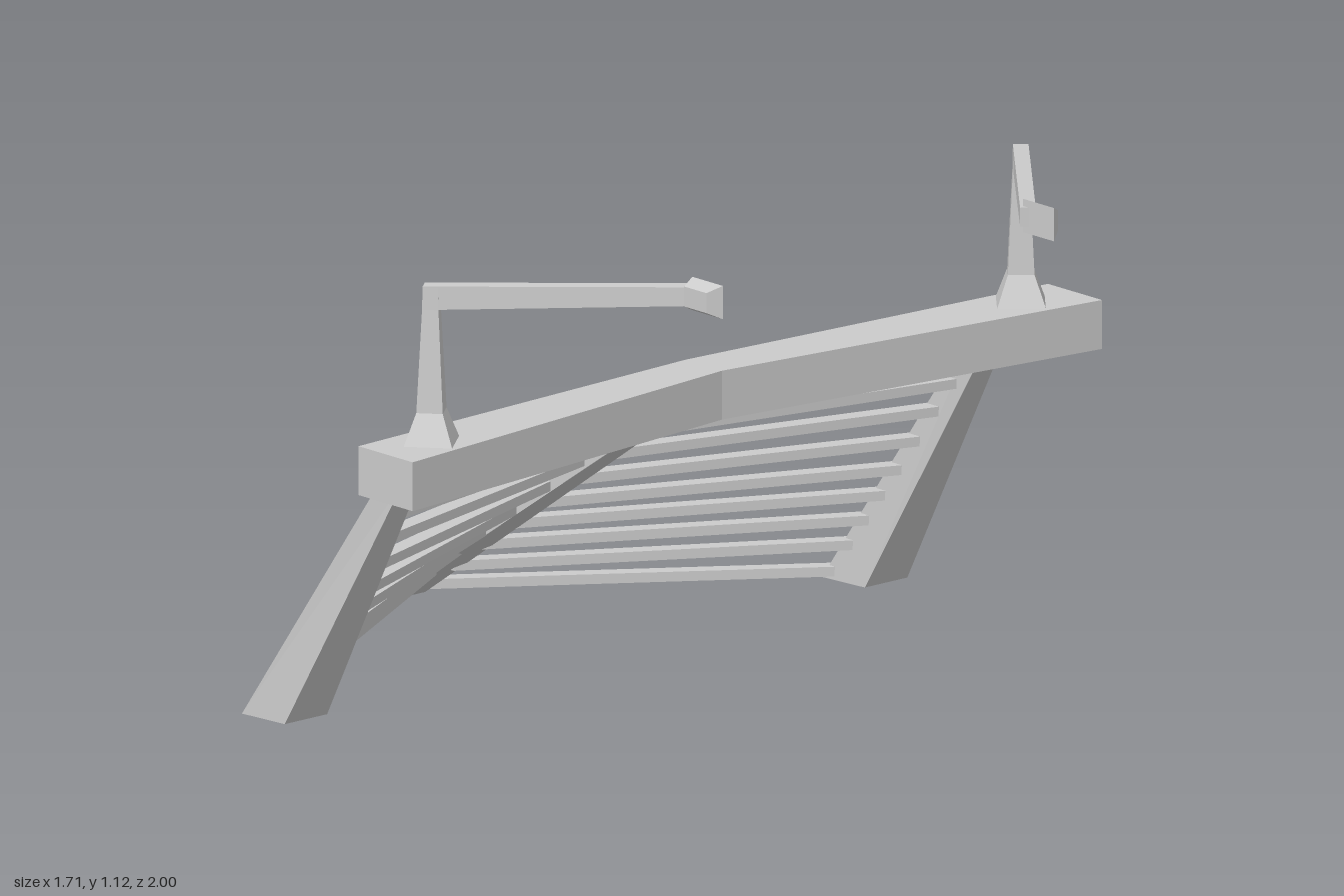
import * as THREE from 'three';

const material = new THREE.MeshStandardMaterial({ color: 0xcccccc, flatShading: true });

// Solid lofted through four-cornered sections, wound outwards whichever way it is mirrored
function loft(name, sections) {
  const tris = [];
  const quad = (a, b, c, d) => tris.push([a, b, c], [a, c, d]);
  for (let s = 0; s + 1 < sections.length; s++) {
    for (let i = 0; i < 4; i++) {
      const j = (i + 1) % 4;
      quad(sections[s][i], sections[s][j], sections[s + 1][j], sections[s + 1][i]);
    }
  }
  const first = sections[0], last = sections[sections.length - 1];
  quad(first[3], first[2], first[1], first[0]);
  quad(...last);
  const v = (p) => new THREE.Vector3(...p);
  const origin = v(first[0]);
  let volume = 0;
  for (const t of tris) {
    const [a, b, c] = t.map((p) => v(p).sub(origin));
    volume += a.dot(b.cross(c));
  }
  if (volume < 0) tris.forEach((t) => t.reverse());
  const geometry = new THREE.BufferGeometry();
  geometry.setAttribute('position', new THREE.Float32BufferAttribute(tris.flat(2), 3));
  geometry.computeVertexNormals();
  const mesh = new THREE.Mesh(geometry, material);
  mesh.name = name;
  return mesh;
}

// Section between an upper and a lower [x, y] point, spanning z0 to z1
const span = (upper, lower, z0, z1) => [
  [...upper, z0], [...upper, z1], [...lower, z1], [...lower, z0],
];

export function createModel() {
  const model = new THREE.Group();
  model.name = 'rack';

  // Bent cross beam
  const beamSection = (x0, x1, z) => [[x0, 0.62, z], [x1, 0.62, z], [x1, 0.73, z], [x0, 0.73, z]];
  model.add(loft('beam', [
    beamSection(0.25, 0.427, -1), beamSection(0.192, 0.312, 0), beamSection(0.25, 0.427, 1),
  ]));

  // Long central leg
  model.add(loft('centreLeg', [
    span([-0.857, 0.0], [-0.72, 0.01], -0.055, 0.055),
    span([0.2, 0.73], [0.22, 0.645], -0.03, 0.03),
  ]));

  // Rung heights and their starting x on the central leg
  const rungs = [
    [0.03, -0.77], [0.1, -0.635], [0.165, -0.55], [0.23, -0.46], [0.297, -0.36],
    [0.372, -0.25], [0.45, -0.14], [0.522, -0.035], [0.59, 0.065],
  ];

  for (const side of [1, -1]) {
    const half = new THREE.Group();
    half.name = side > 0 ? 'frontHalf' : 'backHalf';

    // Short outer leg
    half.add(loft('sideLeg', [
      span([-0.24, 0.01], [-0.1, 0.015], side * 0.78, side * 0.903),
      span([0.25, 0.712], [0.252, 0.625], side * 0.82, side * 0.872),
    ]));

    // Rungs between central and outer legs
    for (const [y, x] of rungs) {
      const outerX = -0.215 + (y - 0.03) * 0.69;
      const end = (x0, z) => [
        [x0, y - 0.011, z], [x0 + 0.042, y - 0.011, z],
        [x0 + 0.042, y + 0.011, z], [x0, y + 0.011, z],
      ];
      half.add(loft('rung', [end(x, side * 0.025), end(outerX, side * 0.82)]));
    }

    // Post, turned to line up with its arm
    const angle = 0.7, c = Math.cos(angle), s = Math.sin(angle);
    const place = (along, y, across) => [
      0.325 + along * c + across * s, y, side * (0.855 - along * s + across * c),
    ];
    const square = (y, r) => [
      place(-r, y, -r), place(r, y, -r), place(r, y, r), place(-r, y, r),
    ];
    half.add(loft('post', [
      square(0.73, 0.053), square(0.8, 0.029), square(1.03, 0.018), square(1.08, 0.017),
    ]));

    // Arm reaching inwards
    const armEnd = (along, low, high) => [
      place(along, low, -0.017), place(along, low, 0.017),
      place(along, high, 0.017), place(along, high, -0.017),
    ];
    half.add(loft('arm', [armEnd(-0.017, 1.029, 1.082), armEnd(0.585, 1.062, 1.104)]));

    // Flared pad at the tip
    const padFace = (x0, x1, y0, y1, z) => [
      [x0, y0, side * z], [x1, y0, side * z], [x1, y1, side * z], [x0, y1, side * z],
    ];
    half.add(loft('pad', [
      padFace(0.762, 0.835, 1.06, 1.105, 0.51), padFace(0.755, 0.855, 1.045, 1.12, 0.48),
    ]));
    model.add(half);
  }
  return model;
}
